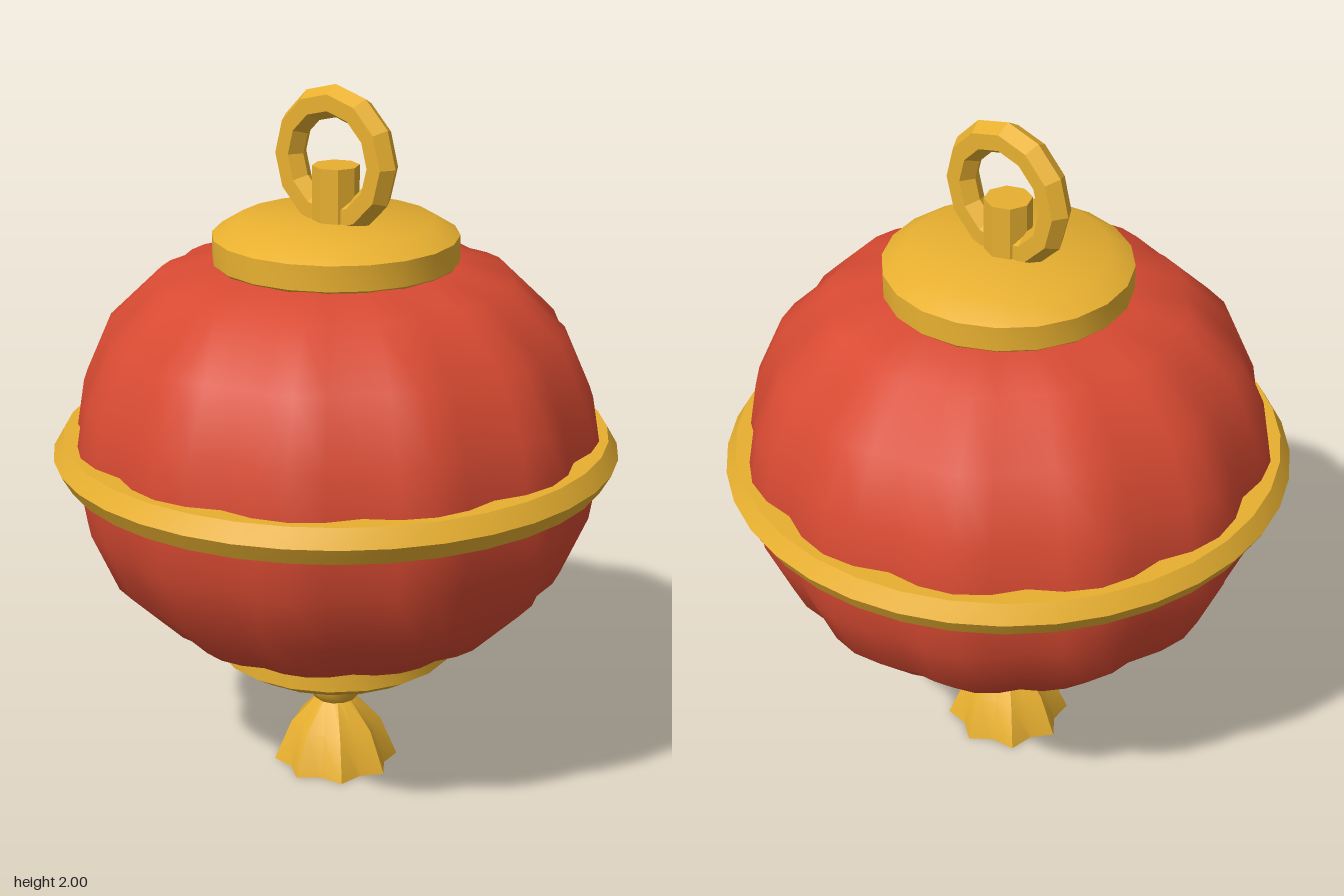
import * as THREE from 'three';
import { toCreasedNormals } from 'three/addons/utils/BufferGeometryUtils.js';

const red = new THREE.MeshStandardMaterial({ color: 0xd84a32 });
const gold = new THREE.MeshStandardMaterial({ color: 0xe8b030 });

// Turned shape, profile from bottom to top; flute(angle, y) scales the radius
function turned(points, sides, crease, flute) {
  const g = new THREE.LatheGeometry(points.map(([r, y]) => new THREE.Vector2(r, y)), sides);
  if (flute) {
    const p = g.attributes.position;
    for (let i = 0; i < p.count; i++) {
      const s = flute(Math.atan2(p.getX(i), p.getZ(i)), p.getY(i));
      p.setX(i, p.getX(i) * s);
      p.setZ(i, p.getZ(i) * s);
    }
  }
  return toCreasedNormals(g, crease);
}

export function createModel() {
  const model = new THREE.Group();
  model.name = 'lantern';
  const add = (name, geometry, material, y = 0) => {
    const mesh = new THREE.Mesh(geometry, material);
    mesh.name = name;
    mesh.position.y = y;
    model.add(mesh);
    return mesh;
  };

  // Paper body: twelve rounded lobes, mirrored about the equator
  const upper = [[0.745, 0], [0.715, 0.18], [0.64, 0.35], [0.49, 0.495], [0.32, 0.54], [0, 0.54]];
  const lower = upper.slice(1).reverse().map(([r, y]) => [r, -y]);
  const lobes = (a) => 0.955 + 0.045 * Math.abs(Math.cos(6 * a));
  add('body', turned([...lower, ...upper], 48, 0.85, lobes), red, 0.98);

  // Band around the equator
  const band = new THREE.TorusGeometry(0.733, 0.058, 6, 36).rotateX(Math.PI / 2);
  add('equatorBand', toCreasedNormals(band, 0.6), gold, 0.98);

  // Caps with a chamfered outer face
  const cap = turned([[0, 0], [0.33, 0], [0.34, 0.01], [0.34, 0.08], [0.275, 0.12], [0, 0.12]], 20, 0.66);
  add('topCap', cap, gold, 1.51);
  add('bottomCap', cap, gold, 0.45).rotation.x = Math.PI;

  // Hanging loop on its peg
  add('peg', toCreasedNormals(new THREE.CylinderGeometry(0.065, 0.065, 0.16, 8), 0.5), gold, 1.7);
  add('hangingLoop', toCreasedNormals(new THREE.TorusGeometry(0.16, 0.045, 6, 12), 0.4), gold, 1.795);

  // Tassel: knob above a fluted, flaring skirt
  add('tasselKnob', new THREE.SphereGeometry(0.09, 12, 8), gold, 0.265);
  const pleats = (a, y) => 1 - 0.09 * (1 - Math.cos(8 * a)) * (1 - y / 0.25);
  add('tasselSkirt', turned([[0, 0], [0.18, 0], [0.13, 0.12], [0.045, 0.21], [0, 0.21]], 16, 0.5, pleats), gold);

  return model;
}
